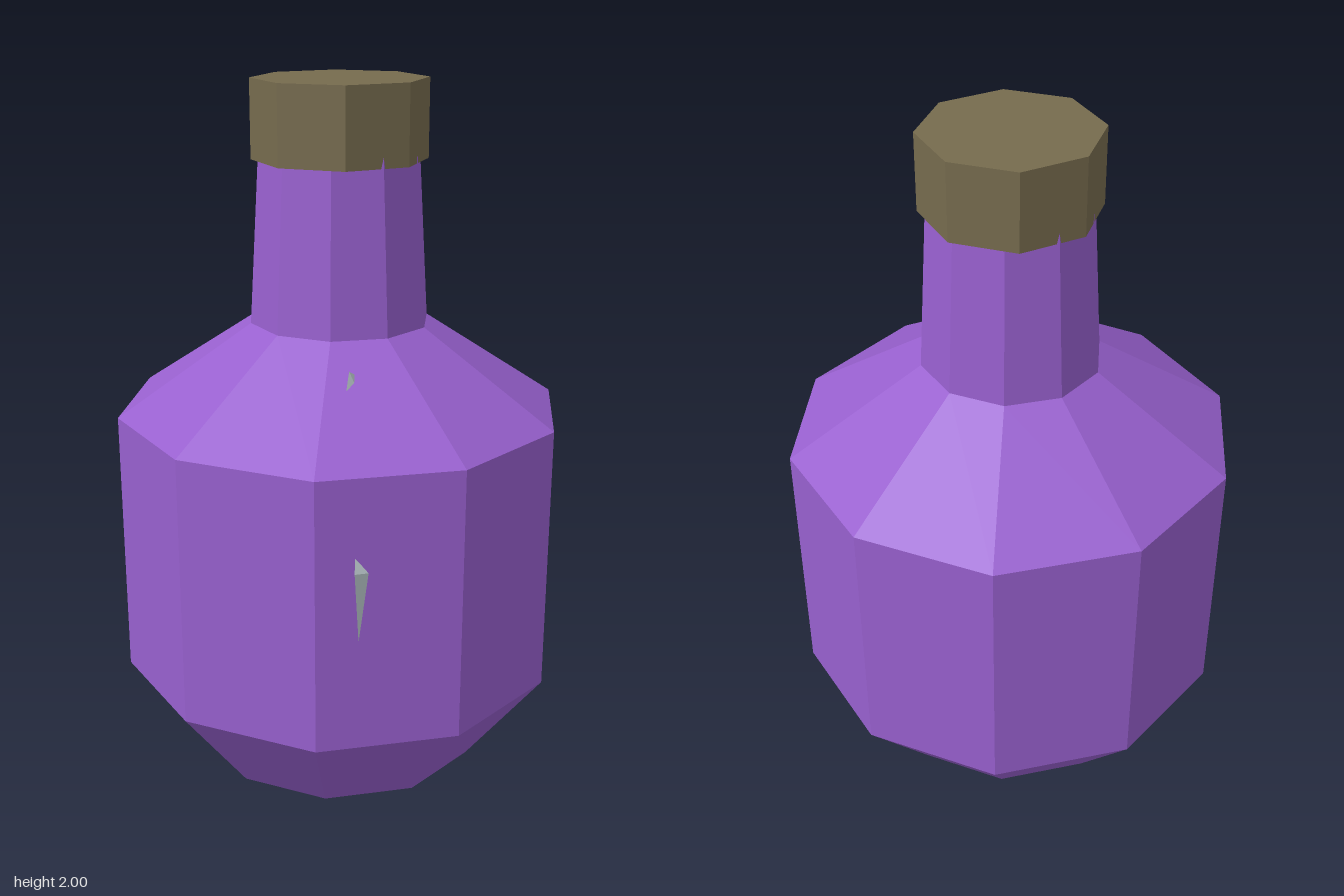
import * as THREE from 'three';
import { ConvexGeometry } from 'three/addons/geometries/ConvexGeometry.js';

const material = (name, color) => {
  const m = new THREE.MeshStandardMaterial({ color, flatShading: true });
  m.name = name;
  return m;
};

export function createModel() {
  const model = new THREE.Group();
  model.name = 'bottle';
  const purple = material('purple glass', 0x9860cf);
  const brown = material('brown stopper', 0x766b4e);
  const white = material('pale glint', 0xc2d0d3);
  const turn = THREE.MathUtils.degToRad(97.7); // the whole bottle is twisted slightly

  const add = (name, geometry, mat) => {
    const mesh = new THREE.Mesh(geometry, mat);
    mesh.name = name;
    model.add(mesh);
    return mesh;
  };

  // Ten-sided body: closed base, chamfer, straight wall, sloping shoulder
  const profile = [[0, 0], [0.418, 0], [0.645, 0.293], [0.645, 1.068], [0.258, 1.325]];
  add('body', new THREE.LatheGeometry(
    profile.map(([r, y]) => new THREE.Vector2(r, y)), 10, turn, Math.PI * 2), purple);

  // Tapered neck, whose corners just poke through the stopper
  const neck = add('neck', new THREE.CylinderGeometry(0.2265, 0.258, 0.525, 10, 1, true, turn), purple);
  neck.position.y = 1.325 + 0.525 / 2;

  // Eight-sided stopper
  const stopper = add('stopper', new THREE.CylinderGeometry(0.247, 0.247, 0.22, 8, 1, false, turn), brown);
  stopper.position.y = 1.89;

  // Small raised glints on the wall and the shoulder
  const shard = (name, points) =>
    add(name, new ConvexGeometry(points.map((p) => new THREE.Vector3(...p))), white);
  shard('wallGlint', [
    [-0.372, 0.85, 0.495], [-0.39, 0.815, 0.514], [-0.342, 0.805, 0.514],
    [-0.365, 0.61, 0.502], [-0.365, 0.81, 0.49],
  ]);
  shard('shoulderGlint', [
    [-0.245, 1.228, 0.312], [-0.222, 1.275, 0.297], [-0.192, 1.258, 0.285],
    [-0.212, 1.244, 0.306], [-0.22, 1.235, 0.295],
  ]);
  return model;
}
